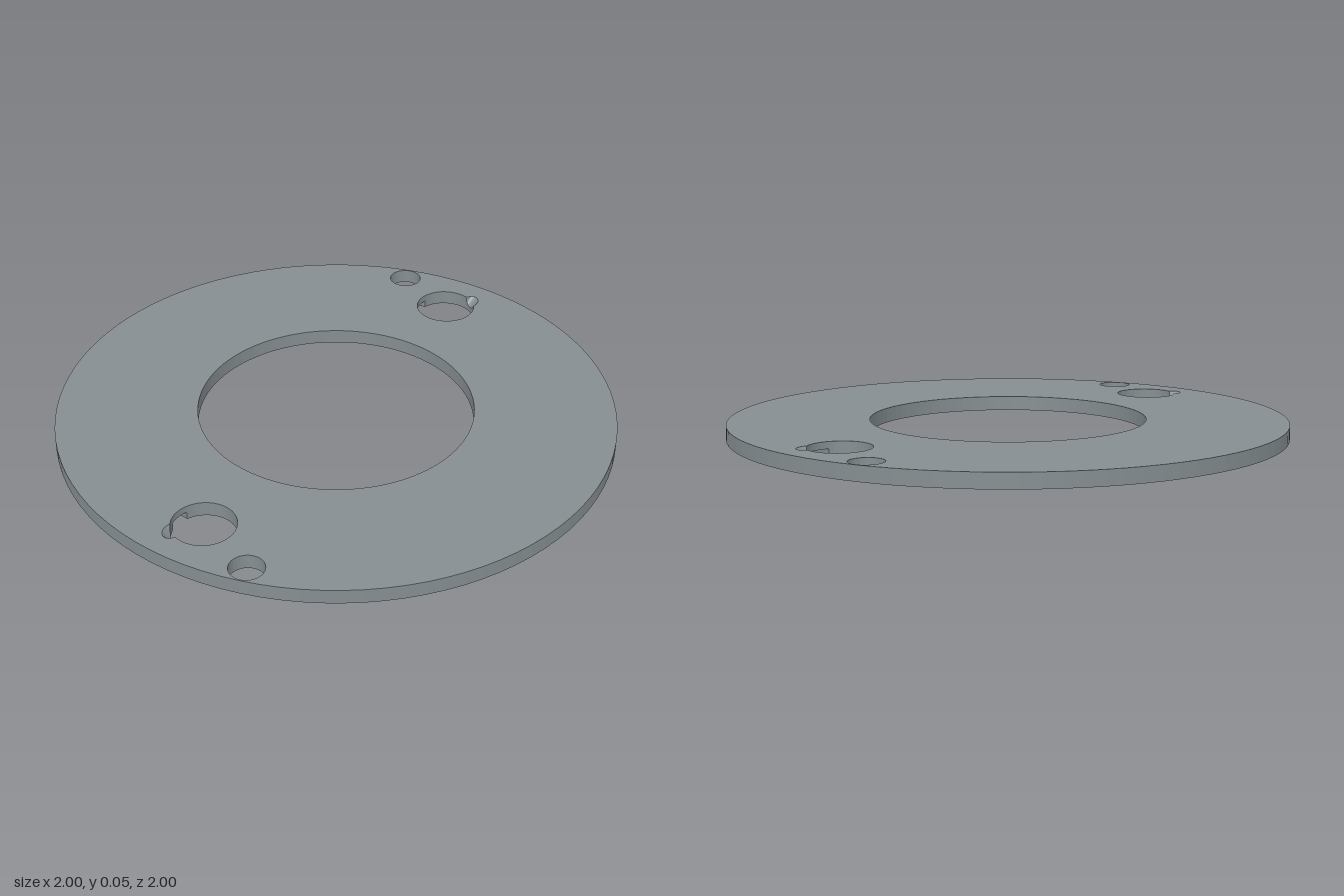
import * as THREE from 'three';
import { mergeGeometries } from 'three/addons/utils/BufferGeometryUtils.js';

const H = 0.053, GROOVE_Y = 0.028;            // plate thickness, groove ceiling height
const BORE = 0.495, G_IN = 0.765, G_OUT = 0.835; // bore and groove radii
const D = 0.8, R = 0.11, DIR = Math.PI / 4;   // large holes: distance, radius, direction
const SMALL = [0.467, 0.81], SMALL_R = 0.06;  // small holes
const N0 = -0.2, N1 = 0.45;                   // notch limits around the large hole
const SEG = 96;

const material = new THREE.MeshStandardMaterial({ color: 0x858e91, flatShading: true });

// Plan coordinates are x and -z, counter-clockwise from above.
const v = (x, y, h = 0) => new THREE.Vector3(x, h, -y);
const polar = (a, r, h) => v(r * Math.cos(a), r * Math.sin(a), h);
const arc = (a0, a1, n, r, h, cx = 0, cy = 0) => Array.from({ length: n + 1 }, (_, i) => {
  const a = a0 + (a1 - a0) * i / n;
  return v(cx + r * Math.cos(a), cy + r * Math.sin(a), h);
});
const circle = (r, h, n = SEG, cx = 0, cy = 0) => arc(0, 2 * Math.PI, n, r, h, cx, cy);

// Surface between two rows of points
function strip(P, Q) {
  const pos = [], index = [], n = P.length;
  [...P, ...Q].forEach(p => pos.push(p.x, p.y, p.z));
  for (let i = 0; i < n - 1; i++) index.push(i, n + i, i + 1, n + i, n + i + 1, i + 1);
  const g = new THREE.BufferGeometry();
  g.setAttribute('position', new THREE.Float32BufferAttribute(pos, 3));
  g.setIndex(index);
  const out = g.toNonIndexed();
  out.computeVertexNormals();
  return out;
}

// Flat face with holes at height h, facing up or down
function face(outline, holes, h, down = false) {
  const flat = pts => pts.slice(0, -1).map(p => new THREE.Vector2(p.x, -p.z));
  const shape = new THREE.Shape(flat(outline));
  holes.forEach(o => shape.holes.push(new THREE.Path(flat(o))));
  const g = new THREE.ShapeGeometry(shape).rotateX(-Math.PI / 2).translate(0, h, 0);
  if (down) g.index.array.reverse();
  g.deleteAttribute('uv');
  const out = g.toNonIndexed();
  out.computeVertexNormals();
  return out;
}

// Half angle that a large hole takes out of a circle of radius r about the origin
const cut = r => Math.acos((r * r + D * D - R * R) / (2 * r * D));

// Groove edge with bites where the large holes cross it (side -1 inner, +1 outer)
function bittenEdge(r, side) {
  const c = cut(r), angles = [];
  for (let i = 0; i < 240; i++) angles.push(i * Math.PI / 120);
  for (const k of [0, Math.PI]) angles.push(DIR + k - c, DIR + k + c);
  angles.sort((a, b) => a - b);
  const pts = angles.map(a => {
    const off = Math.atan(Math.tan(a - DIR));
    if (Math.abs(off) >= c - 1e-6) return polar(a, r);
    return polar(a, D * Math.cos(off) + side * Math.sqrt(R * R - (D * Math.sin(off)) ** 2));
  });
  return [...pts, pts[0]];
}

// Large hole: wall with groove openings, and a steep notch at the top edge
function largeHole(turn) {
  const cx = D * Math.cos(DIR), cy = D * Math.sin(DIR);
  const at = (a, r, h) => v(cx + r * Math.cos(a), cy + r * Math.sin(a), h).applyAxisAngle(new THREE.Vector3(0, 1, 0), turn);
  const angles = [N0, N1, N0 + 2 * Math.PI];
  for (let i = 1; i < 10; i++) angles.push(N0 + (N1 - N0) * i / 10);
  for (let i = 1; i < 40; i++) angles.push(N1 + (N0 + 2 * Math.PI - N1) * i / 40);
  for (const r of [G_IN, G_OUT]) {
    const b = Math.acos((r * r - D * D - R * R) / (2 * D * R));
    angles.push(DIR + b, DIR - b + 2 * Math.PI);
  }
  angles.sort((a, b) => a - b);
  // Notch profile, leaning towards its far end
  const bump = a => (a < N1 ? Math.sqrt(Math.max(0, Math.sin(Math.PI * ((a - N0) / (N1 - N0)) ** 1.5))) : 0);
  const top = a => H - 0.033 * bump(a);
  const outline = angles.map(a => at(a, R + 0.032 * bump(a), H));
  const walls = [];
  for (let i = 0; i < angles.length - 1; i++) {
    const [a, b] = [angles[i], angles[i + 1]];
    const rad = at((a + b) / 2, R, 0).length();
    const low = rad > G_IN && rad < G_OUT ? GROOVE_Y : 0;
    walls.push(strip([at(a, R, low), at(b, R, low)], [at(a, R, top(a)), at(b, R, top(b))]));
  }
  const inNotch = angles.filter(a => a <= N1 + 1e-6);
  const notch = strip(inNotch.map(a => at(a, R, top(a))), outline.slice(0, inNotch.length));
  return { outline, wall: mergeGeometries(walls), notch };
}

export function createModel() {
  const group = new THREE.Group();
  const add = (name, geometry) => {
    const mesh = new THREE.Mesh(geometry, material);
    mesh.name = name;
    group.add(mesh);
  };

  // Rim and bore
  add('outerRim', strip(circle(1, H), circle(1, 0)));
  add('boreWall', strip(circle(BORE, 0), circle(BORE, H)));

  // Holes, repeated on opposite sides
  const large = [0, Math.PI].map(largeHole);
  large.forEach(o => { add('largeHoleWall', o.wall); add('holeNotch', o.notch); });
  const smallHole = (s, h) => circle(SMALL_R, h, 32, s * SMALL[0], s * SMALL[1]);
  for (const s of [1, -1]) add('smallHoleWall', strip(smallHole(s, 0), smallHole(s, H)));
  const smallOutlines = [smallHole(1, 0), smallHole(-1, 0)];

  // Top and bottom faces
  add('topFace', face(circle(1, H), [circle(BORE, H), ...large.map(o => o.outline), ...smallOutlines], H));
  add('bottomInnerRing', face(bittenEdge(G_IN, -1), [circle(BORE, 0)], 0, true));
  add('bottomOuterRing', face(circle(1, 0), [bittenEdge(G_OUT, 1), ...smallOutlines], 0, true));

  // Circular groove underneath, in two halves between the large holes
  for (const k of [0, Math.PI]) {
    const row = (r, h) => arc(DIR + k + cut(r), DIR + k + Math.PI - cut(r), 60, r, h);
    add('grooveOuterWall', strip(row(G_OUT, 0), row(G_OUT, GROOVE_Y)));
    add('grooveInnerWall', strip(row(G_IN, GROOVE_Y), row(G_IN, 0)));
    const floors = [];
    for (let i = 0; i < 6; i++) {
      const r = j => G_IN + (G_OUT - G_IN) * j / 6;
      floors.push(strip(row(r(i + 1), GROOVE_Y), row(r(i), GROOVE_Y)));
    }
    add('grooveFloor', mergeGeometries(floors));
  }
  return group;
}
